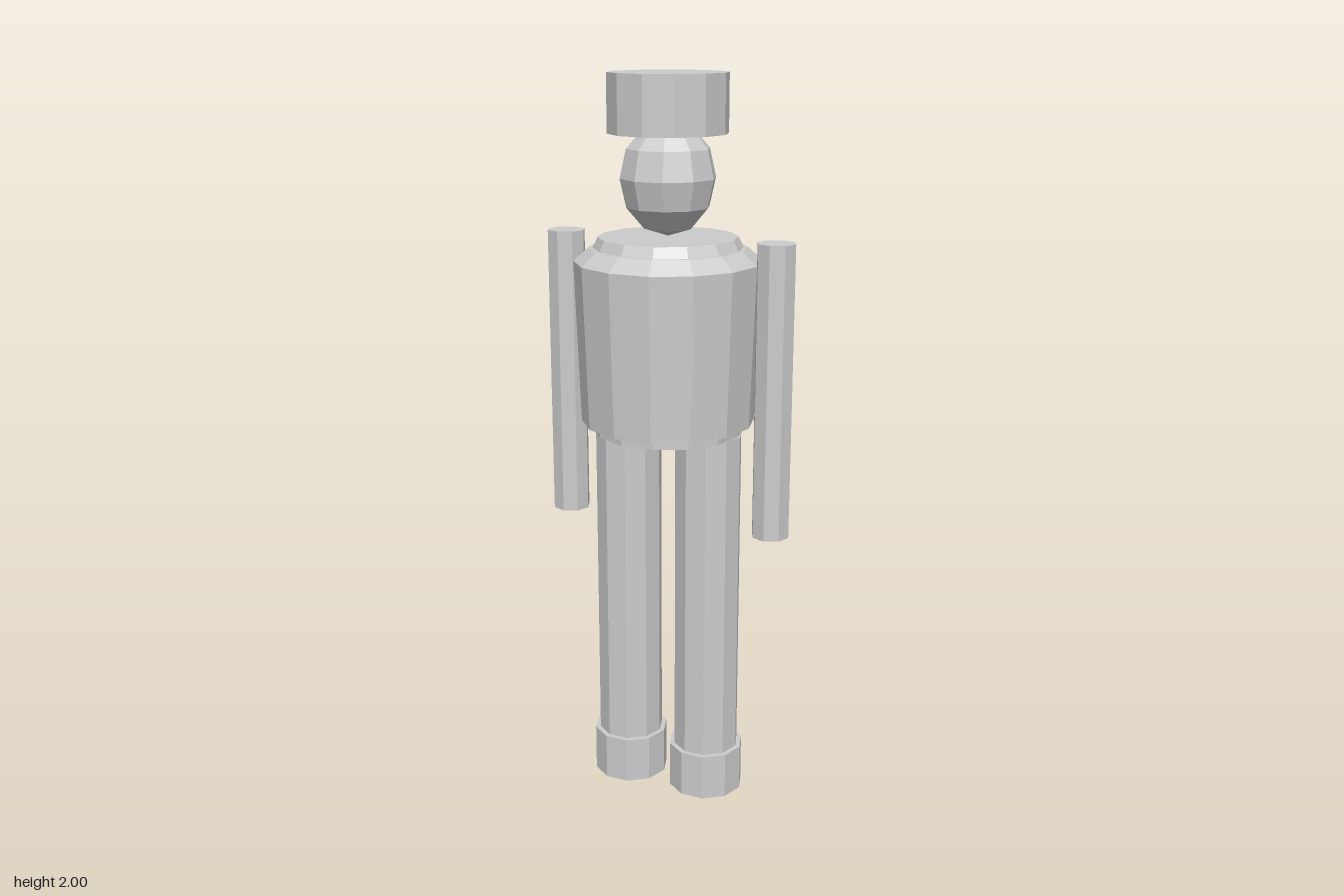
import * as THREE from 'three';

export function createModel() {
  const model = new THREE.Group();
  model.name = 'figure';
  const grey = new THREE.MeshStandardMaterial({ color: 0xcccccc });
  grey.name = 'plain grey';

  // Faceted mesh: unshared vertices give each face its own normal
  function add(name, geometry, x = 0, y = 0) {
    const flat = geometry.toNonIndexed();
    flat.computeVertexNormals();
    const mesh = new THREE.Mesh(flat, grey);
    mesh.name = name;
    mesh.position.set(x, y, 0);
    model.add(mesh);
    return mesh;
  }

  // Upright prism from y0 to y1, with corners on the x axis
  function prism(name, radius, y0, y1, sides, x = 0) {
    const geometry = new THREE.CylinderGeometry(
      radius, radius, y1 - y0, sides, 1, false, Math.PI / 2);
    return add(name, geometry, x, (y0 + y1) / 2);
  }

  // Torso: waist band, tapered chest, sloped shoulders and collar
  const profile = [
    [0, 1.058], [0.205, 1.058], [0.205, 1.085], [0.235, 1.085],
    [0.25, 1.52], [0.21, 1.555], [0.199, 1.555], [0.185, 1.583], [0, 1.583],
  ].map(([r, y]) => new THREE.Vector2(r, y));
  add('torso', new THREE.LatheGeometry(profile, 14, Math.PI / 2));

  // Head and hat
  const head = new THREE.SphereGeometry(0.128, 10, 6);
  head.scale(1, 0.15 / 0.128, 1);
  add('head', head, 0, 1.735);
  prism('hat', 0.158, 1.848, 2, 12);

  // Limbs, mirrored
  for (const [side, s] of [['left', 1], ['right', -1]]) {
    prism(side + 'Arm', 0.052, 0.792, 1.584, 8, s * 0.302);
    prism(side + 'Leg', 0.092, 0.132, 1.058, 10, s * 0.119);
    prism(side + 'Foot', 0.106, 0, 0.132, 10, s * 0.119);
  }

  return model;
}
